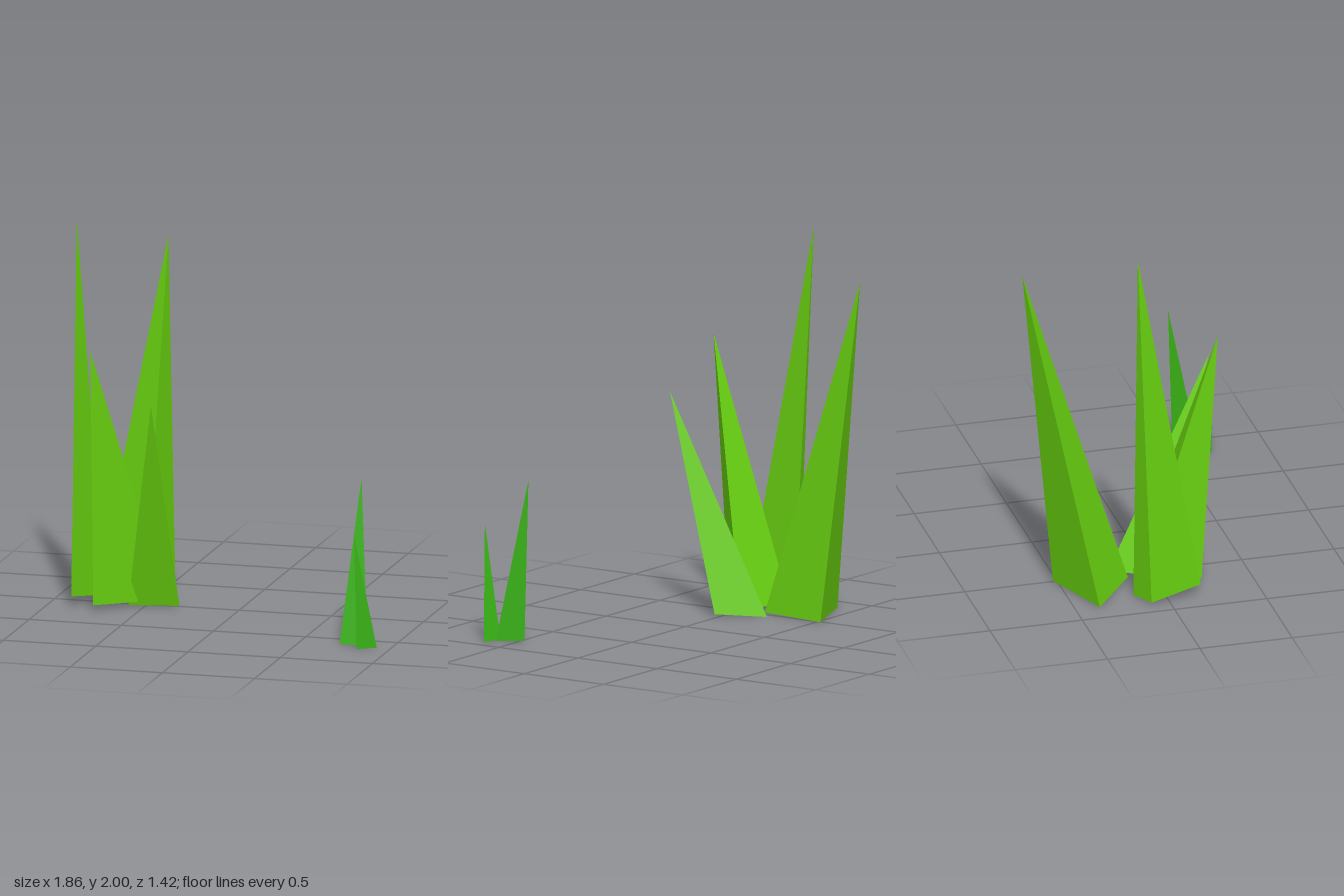
import * as THREE from 'three';

const grassGreen = new THREE.MeshStandardMaterial({ color: 0x68d010, flatShading: true });
const sproutGreen = new THREE.MeshStandardMaterial({ color: 0x38b014, flatShading: true });

// A closed, leaning three-sided spike from its tip and three base corners
function spike(name, material, tip, base) {
  const t = new THREE.Vector3(...tip);
  let [a, b, c] = base.map((p) => new THREE.Vector3(...p));
  // order the base corners so that every face points outwards
  const normal = b.clone().sub(a).cross(c.clone().sub(a));
  if (normal.dot(t.clone().sub(a)) < 0) [b, c] = [c, b];
  const geometry = new THREE.BufferGeometry().setFromPoints([
    a, b, t, b, c, t, c, a, t, // sides
    a, c, b, // underside
  ]);
  geometry.computeVertexNormals();
  const mesh = new THREE.Mesh(geometry, material);
  mesh.name = name;
  return mesh;
}

export function createModel() {
  const model = new THREE.Group();
  model.name = 'grassTufts';

  // Large tuft of four blades
  const tuft = new THREE.Group();
  tuft.name = 'largeTuft';
  tuft.add(
    spike('backBlade', grassGreen, [-0.58, 1.82, -0.71],
      [[-0.87, 0, -0.37], [-0.55, 0, -0.13], [-0.49, 0, -0.52]]),
    spike('tallBlade', grassGreen, [-0.93, 2, -0.18],
      [[-0.91, 0.01, -0.1], [-0.77, 0, -0.16], [-0.86, 0.06, 0.18]]),
    spike('frontBlade', grassGreen, [-0.72, 1.41, 0.31],
      [[-0.755, 0.03, -0.14], [-0.73, 0.03, 0.22], [-0.41, 0.015, -0.07]]),
    spike('innerBlade', grassGreen, [-0.38, 1.15, 0.355],
      [[-0.45, 0, -0.21], [-0.315, 0.01, 0.03], [-0.59, 0, 0.04]]),
  );

  // Small sprout of two blades
  const sprout = new THREE.Group();
  sprout.name = 'smallTuft';
  sprout.add(
    spike('sproutBackBlade', sproutGreen, [0.79, 0.86, 0.455],
      [[0.715, 0, 0.615], [0.865, 0, 0.61], [0.79, 0, 0.48]]),
    spike('sproutFrontBlade', sproutGreen, [0.82, 0.61, 0.71],
      [[0.83, 0, 0.605], [0.925, 0, 0.645], [0.83, 0, 0.7]]),
  );

  model.add(tuft, sprout);
  return model;
}
